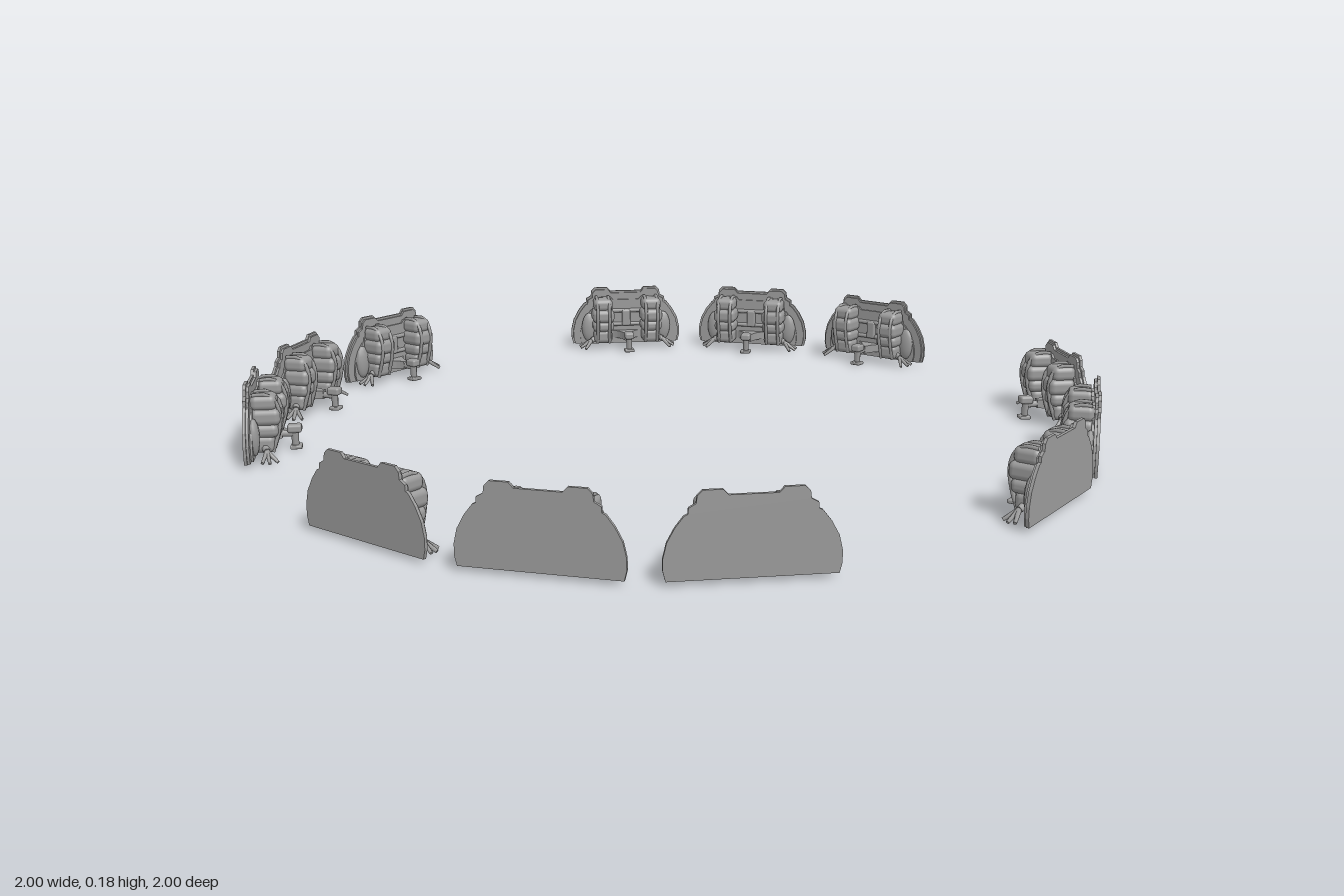
import * as THREE from 'three';
import { RoundedBoxGeometry } from 'three/addons/geometries/RoundedBoxGeometry.js';

const mat = new THREE.MeshStandardMaterial({ color: 0x9a9a9a });
const flat = new THREE.MeshStandardMaterial({ color: 0x9a9a9a, flatShading: true });

function add(parent, name, geo, x, y, z, m = mat) {
  const mesh = new THREE.Mesh(geo, m);
  mesh.name = name;
  mesh.position.set(x, y, z);
  parent.add(mesh);
  return mesh;
}

// rod between two points
function rod(parent, name, a, b, r0, r1, sides = 8) {
  const A = new THREE.Vector3(...a), B = new THREE.Vector3(...b);
  const d = B.clone().sub(A);
  const mesh = add(parent, name, new THREE.CylinderGeometry(r1, r0, d.length(), sides), 0, 0, 0);
  mesh.position.copy(A).addScaledVector(d, 0.5);
  mesh.quaternion.setFromUnitVectors(new THREE.Vector3(0, 1, 0), d.normalize());
}

// right half of the shield outline, from bottom to top centre
const half = [[0.163, 0.01], [0.168, 0.03], [0.168, 0.055], [0.161, 0.085], [0.146, 0.113], [0.129, 0.135],
  [0.122, 0.138], [0.121, 0.15], [0.107, 0.158], [0.105, 0.173], [0.095, 0.183], [0.057, 0.183], [0.047, 0.172]];

function plate(scale, depth) {
  const pts = [...half, ...half.map(([x, y]) => [-x, y]).reverse()]
    .map(([x, y]) => new THREE.Vector2(x * scale, 0.01 + (y - 0.01) * scale));
  return new THREE.ExtrudeGeometry(new THREE.Shape(pts), { depth, bevelEnabled: false });
}

// flared bracket, seen from above, that carries the centre stem
function bracketGeometry() {
  const s = new THREE.Shape();
  s.moveTo(-0.046, 0);
  s.lineTo(0.046, 0);
  s.quadraticCurveTo(0.014, 0.016, 0.009, 0.055);
  s.lineTo(-0.009, 0.055);
  s.quadraticCurveTo(-0.014, 0.016, -0.046, 0);
  const g = new THREE.ExtrudeGeometry(s, { depth: 0.022, bevelEnabled: false, curveSegments: 6 });
  return g.rotateX(Math.PI / 2);
}

function makePod(side) {
  const pod = new THREE.Group();
  pod.name = side > 0 ? 'leftPod' : 'rightPod';
  const x = side * 0.074;
  // stacked cushions: [bottom, top, width, depth]
  const layers = [[0.018, 0.06, 0.056, 0.052], [0.055, 0.088, 0.064, 0.062],
    [0.084, 0.124, 0.066, 0.068], [0.119, 0.156, 0.058, 0.06]];
  for (const [y0, y1, w, d] of layers)
    add(pod, 'podCushion', new RoundedBoxGeometry(w, y1 - y0, d, 3, 0.014), x, (y0 + y1) / 2, 0.012 + d / 2);
  // vertical straps
  const path = new THREE.CatmullRomCurve3([[0.02, 0.058], [0.065, 0.073], [0.105, 0.079], [0.14, 0.07], [0.157, 0.048], [0.156, 0.018]]
    .map(([y, z]) => new THREE.Vector3(0, y, z)));
  for (const s of [-1, 1])
    add(pod, 'podStrap', new THREE.TubeGeometry(path, 14, 0.005, 6), x + s * 0.018, 0, 0);
  // low side fender
  const fender = add(pod, 'podFender', new THREE.SphereGeometry(1, 12, 8), side * 0.115, 0.062, 0.02);
  fender.scale.set(0.022, 0.045, 0.013);
  // three-pronged foot
  const root = [side * 0.11, 0.026, 0.046];
  rod(pod, 'footArm', [side * 0.08, 0.038, 0.036], root, 0.011, 0.008);
  for (const [px, py, pz] of [[0.146, 0.008, 0.038], [0.144, 0.006, 0.055], [0.13, 0.005, 0.072]])
    rod(pod, 'footProng', root, [side * px, py, pz], 0.006, 0.004, 6);
  return pod;
}

function makePanel() {
  const g = new THREE.Group();
  g.name = 'panel';
  // layered shield plate
  add(g, 'backPlate', plate(1, 0.007), 0, 0, 0, flat);
  add(g, 'middlePlate', plate(0.965, 0.006), 0, 0, 0.007, flat);
  add(g, 'innerPlate', plate(0.84, 0.006), 0, 0, 0.012, flat);
  g.add(makePod(1), makePod(-1));
  // cross bars between the pods
  for (const y of [0.07, 0.112])
    rod(g, 'crossBar', [-0.05, y, 0.02], [0.05, y, 0.02], 0.006, 0.006);
  add(g, 'centreBlock', new RoundedBoxGeometry(0.026, 0.05, 0.014, 2, 0.005), 0, 0.09, 0.022);
  // centre stem with head and foot
  add(g, 'stemBracket', bracketGeometry(), 0, 0.05, 0.016, flat);
  rod(g, 'stem', [0, 0.039, 0.055], [0, 0.036, 0.098], 0.009, 0.008);
  rod(g, 'stemPost', [0, 0.004, 0.1], [0, 0.052, 0.1], 0.008, 0.01);
  add(g, 'stemHead', new RoundedBoxGeometry(0.028, 0.02, 0.034, 2, 0.006), 0, 0.05, 0.1);
  add(g, 'stemFoot', new RoundedBoxGeometry(0.03, 0.009, 0.028, 2, 0.003), 0, 0.0045, 0.102);
  return g;
}

export function createModel() {
  const model = new THREE.Group();
  model.name = 'panelRing';
  const panel = makePanel();
  const R = 1.0127;
  // three panels in each quadrant, gaps on the four axes
  for (let q = 0; q < 4; q++) {
    for (let i = 1; i <= 3; i++) {
      const a = q * Math.PI / 2 + i * Math.PI / 8;
      const p = panel.clone();
      p.position.set(Math.sin(a) * R, 0, Math.cos(a) * R);
      p.rotation.y = a + Math.PI;
      model.add(p);
    }
  }
  return model;
}
